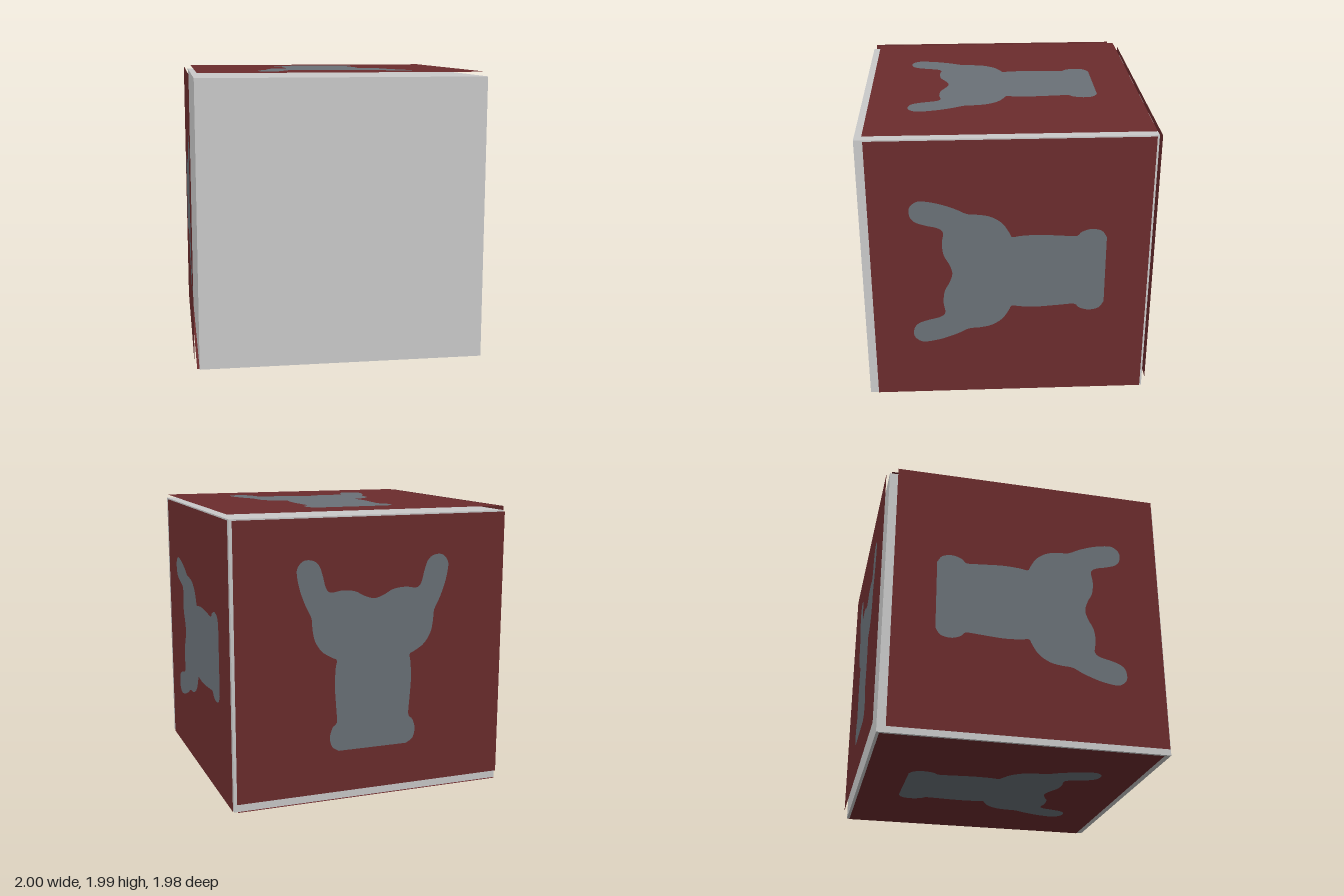
import * as THREE from 'three';

const WIDTH = 1.94, LENGTH = 1.88;

// Half outline of the horned emblem: [half width, distance along the panel]
const HALF = [
  [0.25, -0.655], [0.3, -0.62], [0.315, -0.55], [0.295, -0.485], [0.265, -0.45],
  [0.27, -0.35], [0.28, -0.2], [0.275, -0.08], [0.267, -0.02], [0.3, 0.0],
  [0.37, 0.045], [0.42, 0.12], [0.438, 0.2], [0.446, 0.28], [0.485, 0.36],
  [0.525, 0.47], [0.545, 0.58], [0.53, 0.63], [0.49, 0.66], [0.43, 0.655],
  [0.39, 0.62], [0.365, 0.55], [0.345, 0.475], [0.31, 0.44], [0.23, 0.45],
  [0.14, 0.44], [0.07, 0.405],
];

// Full mirrored outline, smoothed; the base stays straight
function emblemPoints() {
  const right = HALF.map(([w, s]) => new THREE.Vector2(w, s + 0.008));
  const left = right.map((p) => new THREE.Vector2(-p.x, p.y)).reverse();
  const tip = new THREE.Vector2(0, 0.393);
  return new THREE.SplineCurve([...right, tip, ...left]).getPoints(220);
}

export function createModel() {
  const paint = (name, color, side = THREE.FrontSide) => {
    const m = new THREE.MeshStandardMaterial({ color, side });
    m.name = name;
    return m;
  };
  const grey = paint('light grey', 0xcacaca);
  const red = paint('dark red', 0x6b2c2d, THREE.DoubleSide);
  const slate = paint('slate grey', 0x6a7177, THREE.DoubleSide);

  const model = new THREE.Group();
  model.name = 'panelledCube';

  // Plain core, bare on the front
  const core = new THREE.Mesh(new THREE.BoxGeometry(1.957, 1.947, 1.952), grey);
  core.name = 'core';
  core.position.set(0.016, 0.987, 0.012);
  model.add(core);

  // Sheet with an emblem let into it
  const outline = emblemPoints();
  const sheet = new THREE.Shape([
    new THREE.Vector2(-WIDTH / 2, -LENGTH / 2), new THREE.Vector2(WIDTH / 2, -LENGTH / 2),
    new THREE.Vector2(WIDTH / 2, LENGTH / 2), new THREE.Vector2(-WIDTH / 2, LENGTH / 2),
  ]);
  sheet.holes.push(new THREE.Path(outline));
  const sheetGeometry = new THREE.ShapeGeometry(sheet);
  const emblemGeometry = new THREE.ShapeGeometry(new THREE.Shape(outline));

  // Loose panels: name, centre, outward normal, direction of the horns
  const panels = [
    ['rightPanel', [-0.995, 1.014, 0.031], [-1, 0, 0], [0, 0, 1]],
    ['leftPanel', [1.0, 0.983, -0.01], [1, 0, 0], [0, 0, 1]],
    ['topPanel', [0.03, 1.99, -0.007], [0, 1, 0], [0, 0, 1]],
    ['bottomPanel', [-0.008, 0, -0.007], [0, -1, 0], [0, 0, 1]],
    ['backPanel', [0.01, 1.013, -0.988], [0, 0, -1], [0, 1, 0]],
  ];
  for (const [name, centre, normal, horns] of panels) {
    const panel = new THREE.Group();
    panel.name = name;
    const n = new THREE.Vector3(...normal);
    const up = new THREE.Vector3(...horns);
    const across = new THREE.Vector3().crossVectors(up, n);
    panel.quaternion.setFromRotationMatrix(new THREE.Matrix4().makeBasis(across, up, n));
    panel.position.set(...centre);
    const face = new THREE.Mesh(sheetGeometry, red);
    face.name = 'sheet';
    const emblem = new THREE.Mesh(emblemGeometry, slate);
    emblem.name = 'emblem';
    panel.add(face, emblem);
    model.add(panel);
  }
  return model;
}
